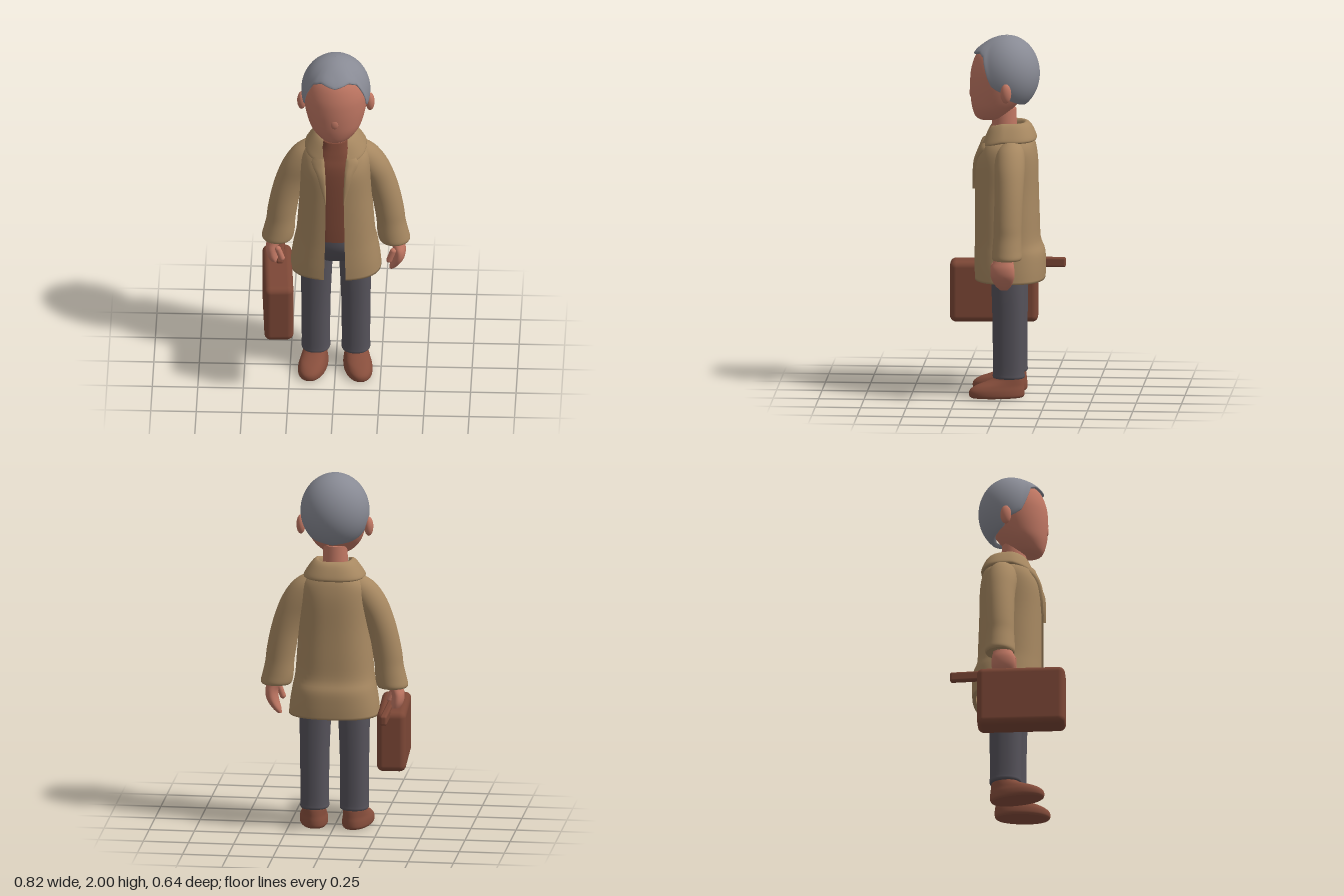
import * as THREE from 'three';
import { RoundedBoxGeometry } from 'three/addons/geometries/RoundedBoxGeometry.js';

const mat = (name, color, side = THREE.FrontSide) => {
  const m = new THREE.MeshStandardMaterial({ color, side });
  m.name = name;
  return m;
};

// Skin a list of point rows (bottom to top); optionally wrap round and cap the ends
function skin(rows, closed = true, caps = closed) {
  const n = rows[0].length, pos = [], idx = [];
  rows.forEach(r => r.forEach(p => pos.push(...p)));
  for (let i = 0; i < rows.length - 1; i++)
    for (let j = 0; j < (closed ? n : n - 1); j++) {
      const k = (j + 1) % n, a = i * n + j, b = i * n + k;
      idx.push(a, b, a + n, b, b + n, a + n);
    }
  if (caps) for (const [row, flip] of [[rows[0], true], [rows[rows.length - 1], false]]) {
    const base = pos.length / 3;
    row.forEach(p => pos.push(...p));
    pos.push(...[0, 1, 2].map(c => row.reduce((s, p) => s + p[c], 0) / n));
    for (let j = 0; j < n; j++) {
      const a = base + j, b = base + (j + 1) % n;
      idx.push(...(flip ? [b, a, base + n] : [a, b, base + n]));
    }
  }
  const g = new THREE.BufferGeometry();
  g.setAttribute('position', new THREE.Float32BufferAttribute(pos, 3));
  g.setIndex(idx);
  g.computeVertexNormals();
  return g;
}

// Smooth interpolation of a table of rows at fractional index t
function at(table, t) {
  const last = table.length - 1, i = Math.min(Math.floor(t), last - 1), f = t - i;
  const [p, q, r, s] = [i - 1, i, i + 1, i + 2].map(k => table[Math.max(0, Math.min(last, k))]);
  return q.map((_, c) => {
    const m0 = (r[c] - p[c]) / 2, m1 = (s[c] - q[c]) / 2, d = r[c] - q[c];
    return q[c] + f * (m0 + f * (3 * d - 2 * m0 - m1 + f * (m0 + m1 - 2 * d)));
  });
}
const sample = (table, sub = 4) =>
  Array.from({ length: (table.length - 1) * sub + 1 }, (_, i) => at(table, i / sub));

// Point on a rounded cross-section [y, halfWidth, zFront, zBack]; angle 0 faces front
const pw = (v, p) => Math.sign(v) * Math.abs(v) ** p;
const ringPoint = ([y, hw, zf, zb], a, p = 1, cx = 0) =>
  [cx + hw * pw(Math.sin(a), p), y, (zf + zb) / 2 + (zf - zb) / 2 * pw(Math.cos(a), p)];

// Closed body from a table [y, halfWidth, zFront, zBack, centreX]
const body = (table, side = 1, p = 1, n = 36) => skin(sample(table).map(r =>
  Array.from({ length: n }, (_, j) => ringPoint(r, j / n * Math.PI * 2, p, (r[4] || 0) * side))));

// Open-fronted ring of points from a table [y, halfWidth, zFront, zBack, gap]
const P = 0.8;
const edgeAngle = (x, hw) => Math.asin(Math.min(1, x / hw) ** (1 / P));
function openRing(r, thick = 0, n = 56) {
  const a0 = edgeAngle(r[4], r[1]);
  return Array.from({ length: n + 1 }, (_, j) => {
    const a = a0 + (Math.PI * 2 - 2 * a0) * j / n;
    const t = thick * Math.min(1, j / 2, (n - j) / 2);
    return ringPoint([r[0], r[1] - t, r[2] - t, r[3] + t], a, P);
  });
}

const COAT = [
  [0.65, 0.25, 0.155, -0.23, 0.06], [0.72, 0.243, 0.157, -0.232, 0.058],
  [0.8, 0.23, 0.157, -0.228, 0.056], [0.87, 0.217, 0.156, -0.204, 0.054],
  [1.0, 0.207, 0.156, -0.198, 0.052], [1.15, 0.197, 0.156, -0.193, 0.05],
  [1.3, 0.195, 0.152, -0.19, 0.054], [1.38, 0.185, 0.128, -0.18, 0.06],
  [1.43, 0.15, 0.108, -0.165, 0.066], [1.475, 0.1, 0.085, -0.14, 0.07]];

export function createModel() {
  const root = new THREE.Group();
  root.name = 'manWithSuitcase';
  const hairMat = mat('grey hair', 0x888a94), skinMat = mat('skin', 0xc07763);
  const coatMat = mat('tan coat', 0xa78861, THREE.DoubleSide);
  const brown = mat('brown knit and leather', 0x7c4736);
  const shoeMat = mat('shoe leather', 0x874e3c), trouserMat = mat('charcoal cloth', 0x55525a);
  const add = (name, geo, m, pos = [0, 0, 0], parent = root) => {
    const mesh = new THREE.Mesh(geo, m);
    mesh.name = name;
    mesh.position.set(...pos);
    parent.add(mesh);
    return mesh;
  };
  const ball = (name, m, pos, scale) =>
    add(name, new THREE.SphereGeometry(1, 24, 16), m, pos).scale.set(...scale);

  // Head, nose and neck
  add('head', body([
    [1.532, 0.045, 0.13, 0.03], [1.55, 0.085, 0.155, -0.01], [1.6, 0.13, 0.172, -0.06],
    [1.66, 0.155, 0.181, -0.11], [1.74, 0.173, 0.184, -0.15], [1.82, 0.177, 0.176, -0.168],
    [1.9, 0.152, 0.146, -0.152], [1.95, 0.105, 0.09, -0.115], [1.975, 0.05, 0.04, -0.06]]), skinMat);
  ball('nose', skinMat, [0, 1.68, 0.177], [0.022, 0.03, 0.01]);
  add('neck', new THREE.CylinderGeometry(0.066, 0.072, 0.17, 28), skinMat, [0, 1.51, -0.005]);

  // Hair: shell cut off at a hairline that runs round the head as [angle, y]
  const line = [[0, 1.893], [0.5, 1.912], [0.8, 1.89], [0.95, 1.83], [1.12, 1.745], [1.3, 1.72],
    [1.55, 1.70], [1.75, 1.655], [2.2, 1.63], [Math.PI, 1.61]];
  const hairline = a => {
    let i = 0;
    while (i < line.length - 2 && a > line[i + 1][0]) i++;
    const f = (a - line[i][0]) / (line[i + 1][0] - line[i][0]);
    return line[i][1] + f * (line[i + 1][1] - line[i][1]);
  };
  const hairRow = (u, inset) => Array.from({ length: 72 }, (_, j) => {
    const a = (j / 72 * 2 - 1) * Math.PI, front = Math.max(0, Math.cos(a));
    const end = Math.acos((hairline(Math.abs(a)) - 1.79) / 0.21), phi = end * u;
    const s = inset * (1 + 0.05 * front * Math.exp(-(((end - phi) / 0.25) ** 2)));
    const rz = Math.cos(a) > 0 ? 0.18 + 0.022 * front : 0.18;
    return [0.19 * s * Math.sin(phi) * Math.sin(a), 1.79 + 0.21 * s * Math.cos(phi),
      -0.02 + rz * s * Math.sin(phi) * Math.cos(a)];
  });
  const hairRows = [hairRow(1, 0.86), hairRow(1, 0.98)];
  for (let i = 0; i <= 20; i++) hairRows.push(hairRow(0.98 - 0.97 * i / 20, 1));
  add('hair', skin(hairRows, true, false), hairMat);
  add('hairCrown', new THREE.SphereGeometry(0.012, 12, 8), hairMat, [0, 1.988, -0.02]);

  // Sweater and hips
  add('sweater', body([[0.875, 0.15, 0.122, -0.15], [1.0, 0.15, 0.125, -0.15],
    [1.3, 0.15, 0.122, -0.15], [1.4, 0.115, 0.098, -0.12], [1.45, 0.086, 0.083, -0.095],
    [1.488, 0.076, 0.072, -0.082]], 1, P), brown);
  add('hips', body([[0.71, 0.15, 0.05, -0.12], [0.76, 0.185, 0.08, -0.14],
    [0.82, 0.18, 0.105, -0.145], [0.89, 0.145, 0.11, -0.14]]), trouserMat);

  // Coat: lining rows from the top down, then outer rows from the hem up
  const outer = sample(COAT);
  add('coat', skin([...outer.slice().reverse().map(r => openRing(r, 0.02)),
    ...outer.map(r => openRing(r))], false), coatMat);

  // Folded collar, dipping toward the front
  const collar = sample([[1.45, 0.085, 0.055, -0.1, 0.07], [1.5, 0.085, 0.06, -0.105, 0.068],
    [1.522, 0.097, 0.072, -0.125, 0.066], [1.505, 0.122, 0.09, -0.152, 0.068],
    [1.46, 0.155, 0.112, -0.175, 0.076], [1.43, 0.17, 0.124, -0.183, 0.085],
    [1.42, 0.155, 0.11, -0.17, 0.09]]);
  add('collar', skin(collar.reverse().map(r => openRing(r).map(([x, y, z]) =>
    [x, y - 0.3 * Math.max(0, z), z])), false), coatMat);

  for (const s of [1, -1]) {
    const side = s > 0 ? 'left' : 'right';

    // Lapel: raised flap lying on the coat front
    const us = [0, 0.05, 0.3, 0.6, 0.96, 1], lift = [0, 0.011, 0.014, 0.014, 0.013, -0.004];
    const widths = [0.053, 0.08, 0.104, 0.13, 0.115];
    const flap = Array.from({ length: 17 }, (_, i) => {
      const r = at(COAT, 5 + 2.7 * i / 16), [w] = at(widths.map(v => [v]), i / 4);
      return us.map((u, k) => {
        const x = r[4] - 0.003 + (w - r[4] + 0.003) * u;
        const p = ringPoint(r, edgeAngle(x, r[1]), P);
        return [s * p[0], p[1], p[2] + lift[k]];
      });
    });
    add(side + 'Lapel', skin(s > 0 ? flap : flap.map(r => r.reverse()), false), coatMat);

    // Sleeve
    add(side + 'Sleeve', body([[0.805, 0.08, 0.035, -0.12, 0.322], [0.82, 0.087, 0.04, -0.127, 0.321],
      [0.86, 0.086, 0.038, -0.125, 0.313], [0.93, 0.08, 0.033, -0.122, 0.303],
      [1.0, 0.081, 0.032, -0.123, 0.294], [1.1, 0.081, 0.03, -0.126, 0.275],
      [1.2, 0.086, 0.03, -0.13, 0.243], [1.3, 0.095, 0.035, -0.133, 0.195],
      [1.38, 0.09, 0.025, -0.125, 0.147], [1.425, 0.06, -0.005, -0.1, 0.12],
      [1.445, 0.025, -0.03, -0.07, 0.105]], s), coatMat);

    // Hand with thumb
    add(side + 'Hand', body([[0.632, 0.012, -0.005, -0.045, 0.306], [0.66, 0.024, 0.022, -0.068, 0.322],
      [0.71, 0.033, 0.044, -0.086, 0.345], [0.76, 0.035, 0.044, -0.086, 0.35],
      [0.8, 0.037, 0.03, -0.08, 0.338], [0.84, 0.036, 0.02, -0.08, 0.325]], s, 1, 24), skinMat);
    add(side + 'Thumb', new THREE.CapsuleGeometry(0.017, 0.06, 6, 14), skinMat, [s * 0.306, 0.742, 0.03])
      .rotation.z = -s * 0.35;

    // Trouser leg with a soft hem
    add(side + 'Leg', body([[0.108, 0.074, 0.045, -0.12, 0.11], [0.118, 0.08, 0.051, -0.126, 0.11],
      [0.16, 0.078, 0.05, -0.124, 0.11], [0.4, 0.08, 0.052, -0.125, 0.11],
      [0.62, 0.086, 0.058, -0.126, 0.107], [0.78, 0.086, 0.06, -0.125, 0.1]], s, 0.88), trouserMat);

    // Shoe, toe turned out
    add(side + 'Shoe', body([[0, 0.068, 0.17, -0.115], [0.012, 0.077, 0.181, -0.124],
      [0.04, 0.077, 0.178, -0.125], [0.065, 0.071, 0.145, -0.122], [0.085, 0.066, 0.09, -0.12],
      [0.105, 0.062, 0.045, -0.117], [0.125, 0.06, 0.035, -0.11]], 1, 0.92), shoeMat, [s * 0.118, 0, 0])
      .rotation.y = s * 0.17;

    ball(side + 'Ear', skinMat, [s * 0.188, 1.707, -0.027], [0.025, 0.054, 0.03]);
  }

  // Suitcase, slightly turned, with a grip bar running back through the hand
  const caseGroup = new THREE.Group();
  caseGroup.name = 'suitcase';
  root.add(caseGroup);
  add('caseBody', new RoundedBoxGeometry(0.16, 0.34, 0.485, 5, 0.035), brown,
    [-0.315, 0.518, 0.075], caseGroup).rotation.y = 0.06;
  add('caseHandle', new RoundedBoxGeometry(0.037, 0.055, 0.37, 3, 0.012), brown,
    [-0.305, 0.679, -0.136], caseGroup);
  return root;
}
